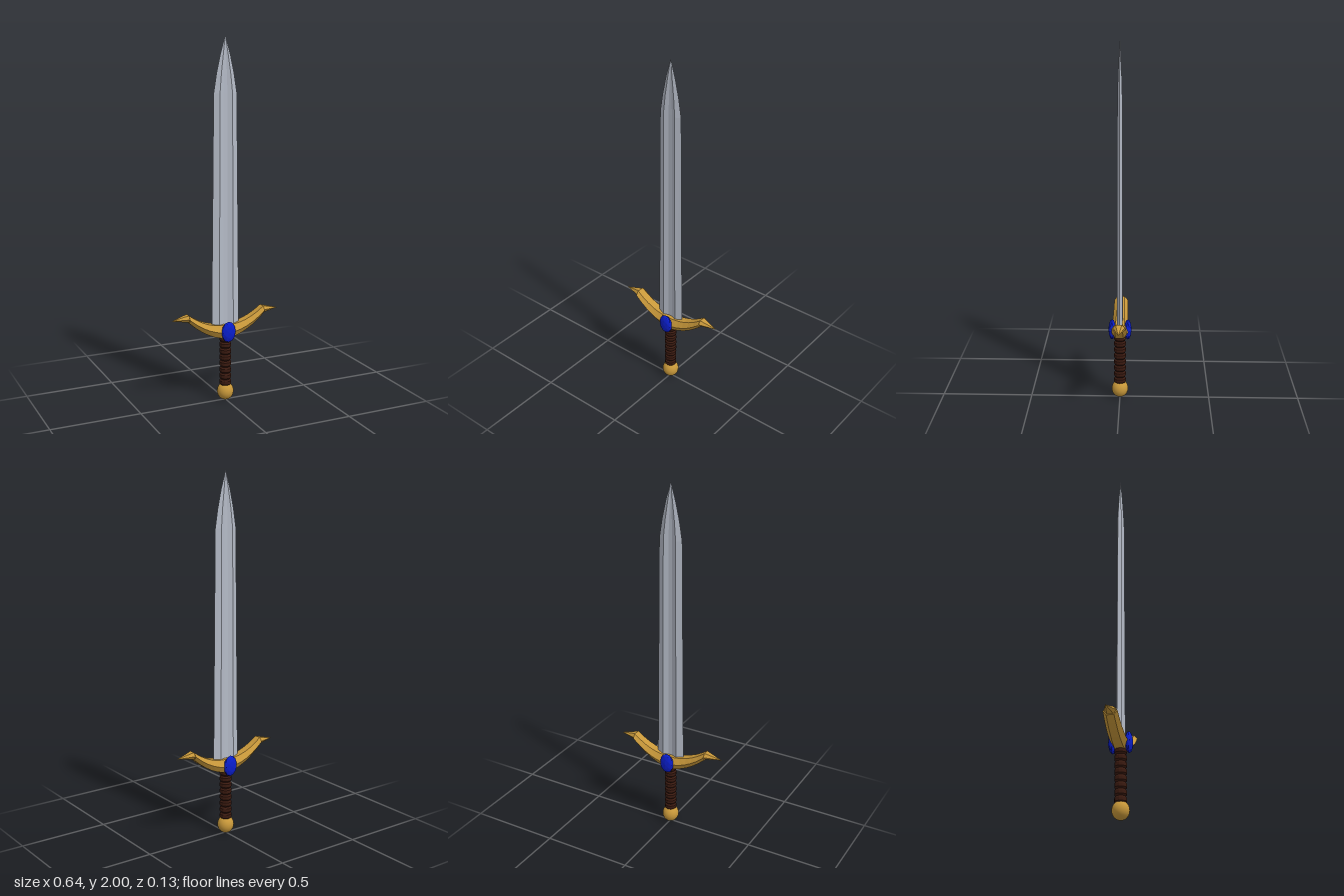
import * as THREE from 'three';

// Faceted skin over rings of equal point count, closed at both ends.
// Rings run counter-clockwise as seen from the end they advance towards.
function loft(rings) {
  const pos = [];
  const tri = (...pts) => pts.forEach((p) => pos.push(...p));
  const n = rings[0].length;
  const centre = (r) => [0, 1, 2].map((k) => r.reduce((s, p) => s + p[k], 0) / n);
  const first = rings[0], last = rings[rings.length - 1];
  const c0 = centre(first), c1 = centre(last);
  for (let j = 0; j < n; j++) {
    const k = (j + 1) % n;
    for (let i = 0; i < rings.length - 1; i++) {
      const [a, b, c, d] = [rings[i][j], rings[i][k], rings[i + 1][k], rings[i + 1][j]];
      tri(a, b, c);
      tri(a, c, d);
    }
    tri(c0, first[k], first[j]);
    tri(c1, last[j], last[k]);
  }
  const geo = new THREE.BufferGeometry();
  geo.setAttribute('position', new THREE.Float32BufferAttribute(pos, 3));
  geo.computeVertexNormals();
  return geo;
}

export function createModel() {
  const group = new THREE.Group();
  const paint = (color, flatShading = true) => new THREE.MeshStandardMaterial({ color, flatShading });
  const steel = paint(0xb4bac6);
  const gold = paint(0xc8983a);
  const blue = paint(0x0a1ecc);
  const leather = paint(0x3a1a10);

  const add = (name, geo, mat, y = 0, z = 0) => {
    const mesh = new THREE.Mesh(geo, mat);
    mesh.name = name;
    mesh.position.set(0, y, z);
    group.add(mesh);
    return mesh;
  };

  // Blade: two ridges with a sunken fuller between them, tapering to a point
  const bladeRing = ([y, edge, ridge, thick]) => {
    const back = [[edge, 0], [ridge, -thick], [ridge * 0.3, -thick * 0.3],
      [-ridge * 0.3, -thick * 0.3], [-ridge, -thick]];
    return [...back, ...back.map(([x, z]) => [-x, -z])].map(([x, z]) => [x, y, z]);
  };
  add('blade', loft([
    [0.40, 0.082, 0.042, 0.015],
    [1.70, 0.067, 0.036, 0.013],
    [1.80, 0.051, 0.027, 0.010],
    [1.90, 0.029, 0.014, 0.006],
    [2.00, 0, 0, 0],
  ].map(bladeRing)), steel);

  // Crossguard: hexagonal bar swept along an upward curve
  const hex = [[-1, 0], [-0.53, 1], [0.53, 1], [1, 0], [0.53, -1], [-0.53, -1]];
  const hexRing = (x, y, halfY, halfZ) => hex.map(([z, h]) => [x, y + h * halfY, z * halfZ]);
  const END = 0.223, RISE = 0.096;
  const guardRings = [];
  for (let i = -6; i <= 6; i++) {
    const t = i / 6;
    const a = Math.abs(t);
    guardRings.push(hexRing(t * END, 0.401 + RISE * t * t, 0.039 - 0.018 * a, 0.048 - 0.01 * a));
  }
  add('crossguard', loft(guardRings), gold);

  // Pointed finials at the guard ends
  const base = (s) => hexRing(s * END, 0.499, 0.019, 0.032);
  const apex = (s) => hexRing(s * 0.32, 0.494, 0, 0);
  add('leftFinial', loft([base(1), apex(1)]), gold);
  add('rightFinial', loft([apex(-1), base(-1)]), gold);

  // Cut gems on both faces of the guard
  for (const [name, s] of [['frontGem', 1], ['backGem', -1]]) {
    const gem = new THREE.IcosahedronGeometry(1, 1);
    gem.scale(0.042, 0.059, 0.02);
    add(name, gem, blue, 0.404, s * 0.044);
  }

  // Ribbed grip
  const RIBS = 8, BOTTOM = 0.085, TOP = 0.375;
  const pitch = (TOP - BOTTOM) / RIBS;
  const profile = [[0, BOTTOM]];
  for (let i = 0; i < RIBS; i++) {
    const y = BOTTOM + i * pitch;
    profile.push([0.026, y], [0.033, y + pitch * 0.25], [0.033, y + pitch * 0.75]);
  }
  profile.push([0.026, TOP], [0, TOP]);
  add('grip', new THREE.LatheGeometry(profile.map(([r, y]) => new THREE.Vector2(r, y)), 12), leather);

  // Rounded pommel
  const pommel = new THREE.SphereGeometry(1, 20, 14);
  pommel.scale(0.046, 0.05, 0.046);
  add('pommel', pommel, paint(0xc8983a, false), 0.05);

  return group;
}
